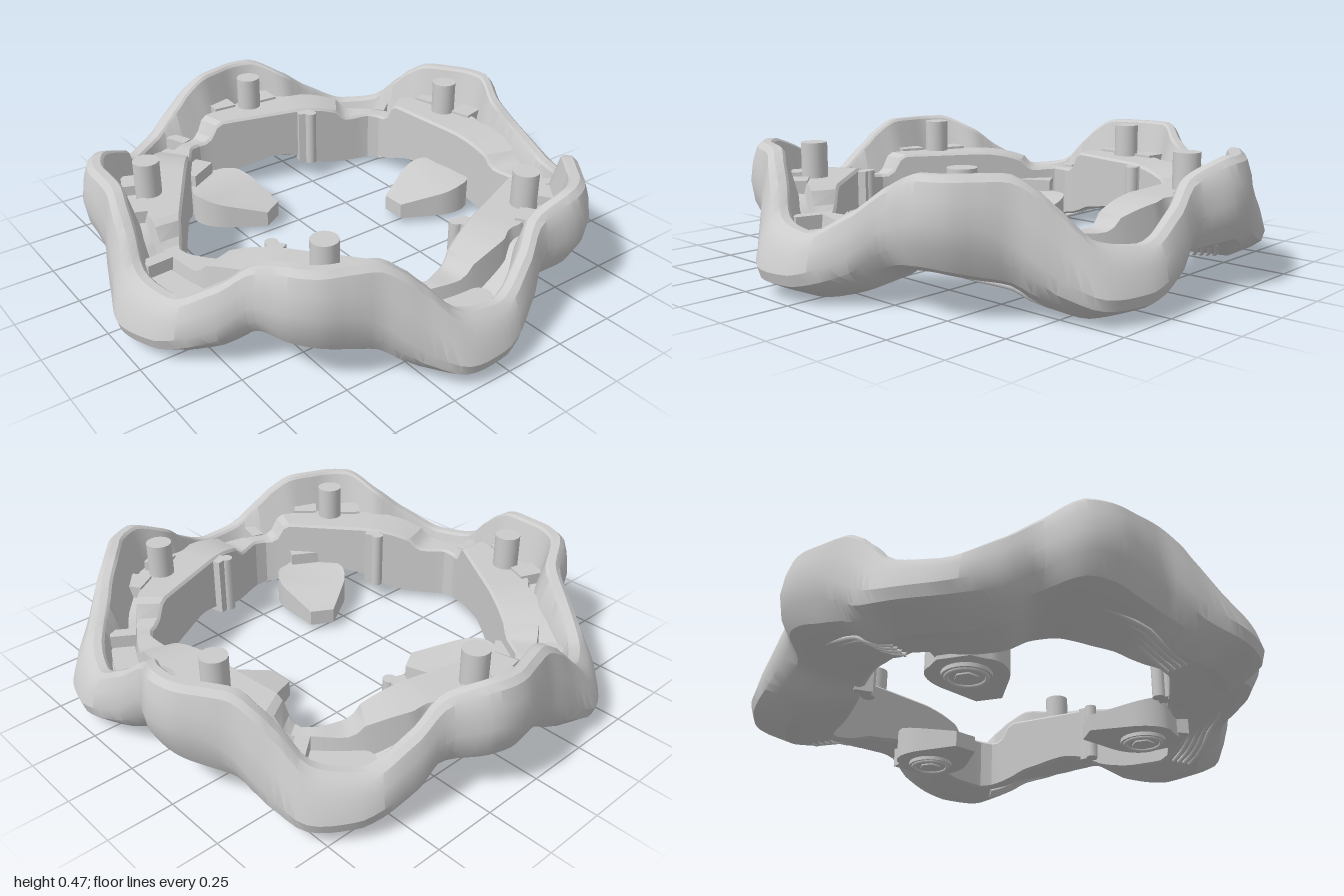
import * as THREE from 'three';
import { toCreasedNormals } from 'three/addons/utils/BufferGeometryUtils.js';

const material = new THREE.MeshStandardMaterial({ color: 0xcccccc });
const CENTER = [-0.02, -0.035];
const STEP = 72, FIRST = 40; // five repeats, the first crest at 40 degrees
const rad = THREE.MathUtils.degToRad;

// One repeat: phase, outer radius, rim height, underside, shelf, height of widest point, rim inset, channel floor
const KEYS = [
  [0, 0.985, 0.47, 0.13, 0.33, 0.32, 0.035, 0.30],
  [6, 0.980, 0.47, 0.14, 0.33, 0.32, 0.035, 0.30],
  [15, 0.905, 0.41, 0.11, 0.33, 0.27, 0.025, 0.28],
  [23, 0.945, 0.32, 0.04, 0.32, 0.17, 0.035, 0.22],
  [32, 1.005, 0.24, 0.005, 0.29, 0.11, 0.055, 0.17],
  [35, 1.020, 0.235, 0.0, 0.25, 0.10, 0.065, 0.17],
  [44, 1.035, 0.26, 0.0, 0.25, 0.10, 0.08, 0.17],
  [51, 0.990, 0.365, 0.025, 0.25, 0.15, 0.065, 0.18],
  [55, 0.968, 0.42, 0.05, 0.33, 0.20, 0.05, 0.25],
  [60, 0.945, 0.465, 0.09, 0.33, 0.26, 0.035, 0.29],
  [66, 0.960, 0.47, 0.11, 0.33, 0.31, 0.035, 0.30],
  [72, 0.985, 0.47, 0.13, 0.33, 0.32, 0.035, 0.30],
];

function profileAt(phase) {
  const p = ((phase % STEP) + STEP) % STEP;
  let i = 0;
  while (p > KEYS[i + 1][0]) i++;
  const n = KEYS.length - 1;
  const a = KEYS[(i + n - 1) % n], b = KEYS[i], c = KEYS[i + 1], d = KEYS[i + 2 > n ? 1 : i + 2];
  const w = c[0] - b[0], t = (p - b[0]) / w;
  // cubic blend with slopes measured over the neighbouring keys
  const spanA = (c[0] - a[0] + STEP) % STEP, spanD = (d[0] - b[0] + STEP) % STEP;
  const mix = (k) => {
    const m0 = ((c[k] - a[k]) / spanA) * w * 0.8, m1 = ((d[k] - b[k]) / spanD) * w * 0.8;
    return (2 * t ** 3 - 3 * t * t + 1) * b[k] + (t ** 3 - 2 * t * t + t) * m0
      + (3 * t * t - 2 * t ** 3) * c[k] + (t ** 3 - t * t) * m1;
  };
  // the opening is a pentagon with blunted corners at phase 46
  const q = p > 46 ? p - STEP : p;
  return {
    outer: mix(1), rim: Math.min(mix(2), 0.47), under: Math.max(mix(3), 0),
    shelf: Math.min(mix(4), 0.33), waist: mix(5), inset: mix(6), floor: mix(7),
    inner: Math.min(0.6 / Math.cos(rad(q - 10)), 0.72),
  };
}

function section(phase) {
  const { outer: R, rim: H, under: B, shelf: S, waist: W, inset: I, floor: F, inner } = profileAt(phase);
  const rimIn = R - I - 0.055;
  const wallFoot = rimIn - Math.max(0.01, (H - F) * 0.25);
  const step = Math.max(inner + 0.05, Math.min(0.78, wallFoot - 0.03));
  return [
    [R - I - 0.015, H],
    [R - I * 0.8, H - 0.02],
    [R - I * 0.3, W + (H - W) * 0.5],
    [R, W],
    [R - 0.012, W + (B - W) * 0.4],
    [R - 0.05, B + 0.038],
    [R - 0.14, B],
    [inner + 0.02, B * 0.65 + 0.02],
    [inner, B * 0.65 + 0.03],
    [inner, S - 0.01],
    [inner + 0.01, S],
    [step, S],
    [step + 0.01, F],
    [wallFoot, F],
    [rimIn, H - 0.01],
    [rimIn + 0.01, H],
  ];
}

// Wavy shell, shelf and inner wall swept round in one closed loop
function ringGeometry() {
  const N = 180, pos = [], idx = [];
  let M = 0;
  for (let i = 0; i < N; i++) {
    const deg = (i * 360) / N, pts = section(deg - FIRST);
    M = pts.length;
    for (const [r, y] of pts) pos.push(r * Math.cos(rad(deg)), y, r * Math.sin(rad(deg)));
  }
  for (let i = 0; i < N; i++) {
    for (let j = 0; j < M; j++) {
      const k = (i + 1) % N, l = (j + 1) % M;
      const a = i * M + j, b = k * M + j, c = i * M + l, d = k * M + l;
      idx.push(a, b, c, b, d, c);
    }
  }
  const g = new THREE.BufferGeometry();
  g.setAttribute('position', new THREE.Float32BufferAttribute(pos, 3));
  g.setIndex(idx);
  return toCreasedNormals(g, rad(28));
}

function add(parent, name, geometry, x = 0, y = 0, z = 0) {
  const m = new THREE.Mesh(geometry, material);
  m.name = name;
  m.position.set(x, y, z);
  parent.add(m);
}

// Group whose +x points outward at the given angle
function spoke(parent, name, deg) {
  const g = new THREE.Group();
  g.name = name;
  g.rotation.y = -rad(deg);
  parent.add(g);
  return g;
}

const box = (w, h, d) => new THREE.BoxGeometry(w, h, d);
const cylinder = (r, h, n = 24) => new THREE.CylinderGeometry(r, r, h, n);

// Flat outline in (radius, sideways), thickened downward from y = 0
function plate(shape, depth) {
  return new THREE.ExtrudeGeometry(shape, { depth, bevelEnabled: false, curveSegments: 12 }).rotateX(Math.PI / 2);
}

// Tab with a rounded wide end, its top sloping down to the tip
function tabGeometry() {
  const s = new THREE.Shape();
  s.moveTo(0.295, -0.05);
  s.lineTo(0.295, 0.05);
  s.lineTo(0.43, 0.12);
  s.bezierCurveTo(0.5, 0.16, 0.59, 0.16, 0.62, 0.1);
  s.lineTo(0.66, 0.06);
  s.lineTo(0.66, -0.06);
  s.lineTo(0.62, -0.1);
  s.bezierCurveTo(0.59, -0.16, 0.5, -0.16, 0.43, -0.12);
  s.closePath();
  const g = plate(s, 0.1), p = g.attributes.position;
  for (let i = 0; i < p.count; i++) {
    const t = THREE.MathUtils.clamp((p.getX(i) - 0.295) / 0.25, 0, 1);
    p.setY(i, p.getY(i) > -0.05 ? 0.09 + 0.06 * t : 0.025);
  }
  return toCreasedNormals(g, rad(30));
}

// Curved bar with round ends in the low part of each repeat
function barShape(r, half, from, to) {
  const s = new THREE.Shape(), a = rad(from), b = rad(to), mid = Math.PI;
  s.absarc(0, 0, r + half, a, b, false);
  s.absarc(r * Math.cos(b), r * Math.sin(b), half, b, b + mid, false);
  s.absarc(0, 0, r - half, b, a, true);
  s.absarc(r * Math.cos(a), r * Math.sin(a), half, a + mid, a + 2 * mid, false);
  return s;
}

// Arc following the sloping underside
class RibCurve extends THREE.Curve {
  constructor(r) { super(); this.r = r; }
  getPoint(t, target = new THREE.Vector3()) {
    const ph = -24 + 24 * t;
    return target.set(this.r * Math.cos(rad(ph)), profileAt(ph).under + 0.004, this.r * Math.sin(rad(ph)));
  }
}

export function createModel() {
  const model = new THREE.Group();
  model.name = 'wavyRing';
  const body = new THREE.Group();
  body.name = 'ringAssembly';
  body.position.set(CENTER[0], 0, CENTER[1]);
  model.add(body);
  add(body, 'shell', ringGeometry());

  for (let k = 0; k < 5; k++) {
    // Pin and small ledges under each crest
    const crest = spoke(body, 'crestFittings', FIRST + k * STEP);
    add(crest, 'pin', cylinder(0.05, 0.16), 0.742, 0.385);
    add(crest, 'sideLedge', box(0.1, 0.06, 0.09), 0.79, 0.31, 0.09);
    add(crest, 'sideLedge', box(0.08, 0.06, 0.1), 0.8, 0.31, -0.11);

    // Stepped bar and cross ridge in each valley
    add(crest, 'valleyBar', plate(barShape(0.835, 0.045, 33, 44), 0.06), 0, 0.2);
    const ridge = spoke(crest, 'crossRidge', 47);
    add(ridge, 'ridge', box(0.1, 0.1, 0.05), 0.83, 0.2);

    // Grip ribs on the sloping underside
    for (let i = 0; i < 4; i++) {
      add(crest, 'gripRib', new THREE.TubeGeometry(new RibCurve(0.75 + i * 0.026), 16, 0.008, 6));
    }

    // Hooked clip on the inner wall
    if (k % 2 === 0) {
      const clip = spoke(crest, 'clip', 18);
      add(clip, 'clipArm', box(0.07, 0.24, 0.06), 0.605, 0.2);
      add(clip, 'clipNose', cylinder(0.025, 0.24, 12), 0.575, 0.2, 0.025);
    }
  }

  // Three mounting tabs pointing to the middle
  for (const deg of [30, 150, 270]) {
    const tab = spoke(body, 'mountingTab', deg);
    add(tab, 'tabPlate', tabGeometry());
    add(tab, 'tabNeck', box(0.08, 0.16, 0.14), 0.66, 0.12);
    add(tab, 'screwBoss', cylinder(0.09, 0.03), 0.53, 0.025);
    add(tab, 'screwHead', cylinder(0.045, 0.02, 6), 0.53, 0.014);
    add(tab, 'bossRing', new THREE.TorusGeometry(0.072, 0.008, 6, 24).rotateX(Math.PI / 2), 0.53, 0.01);
  }
  return model;
}
